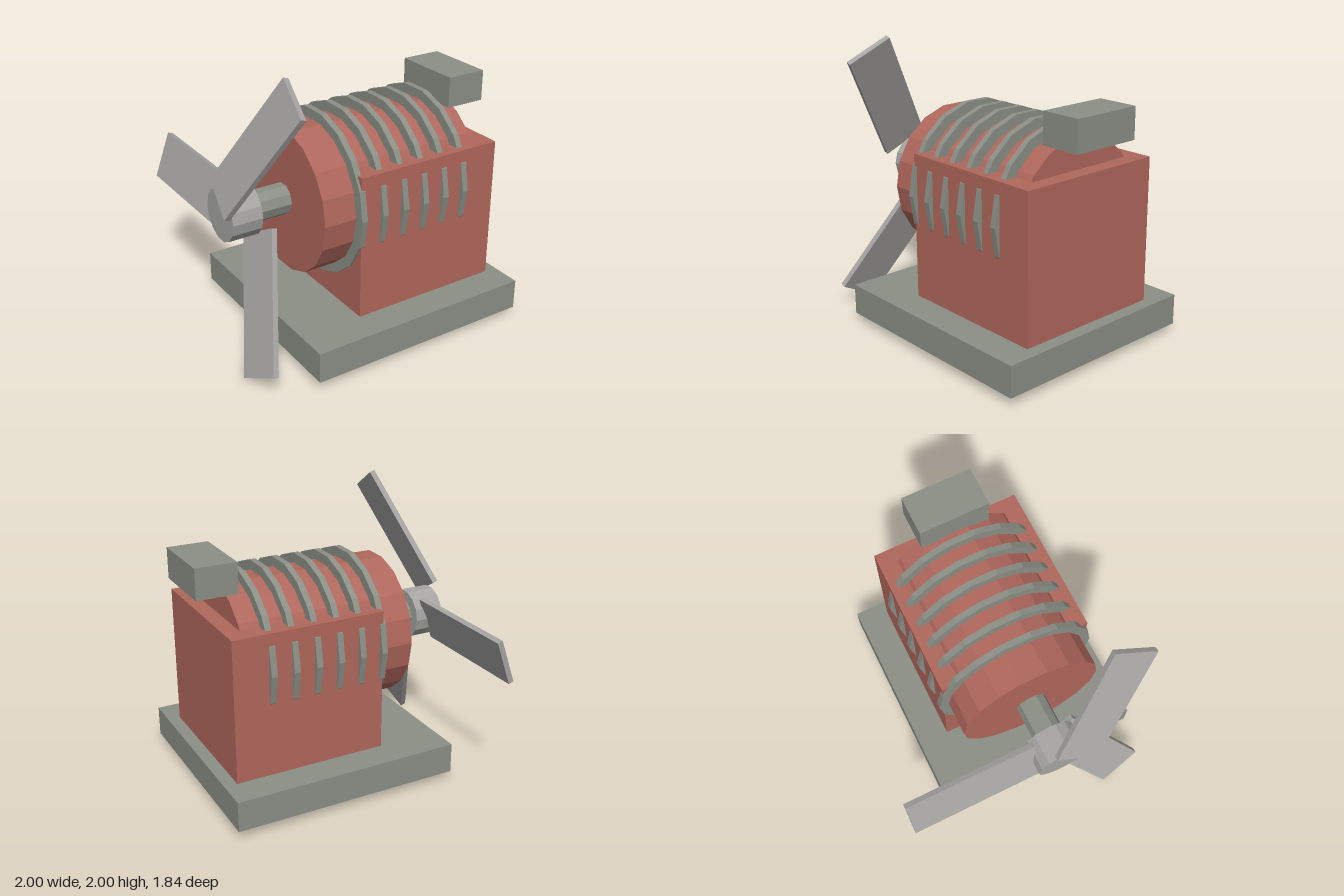
import * as THREE from 'three';

const AXIS_Y = 1.0, AXIS_Z = 0.16;

function material(name, color) {
  const m = new THREE.MeshStandardMaterial({ color, flatShading: true });
  m.name = name;
  return m;
}

export function createModel() {
  const model = new THREE.Group();
  model.name = 'fanMotor';
  const red = material('brickRed', 0xb0675c);
  const grey = material('greenGrey', 0x8b8f86);
  const light = material('lightGrey', 0xa6a5a4);

  function add(name, geometry, mat, x, y, z = AXIS_Z) {
    const mesh = new THREE.Mesh(geometry, mat);
    mesh.name = name;
    mesh.position.set(x, y, z);
    model.add(mesh);
    return mesh;
  }

  const box = (name, mat, x0, x1, y0, y1, depth) =>
    add(name, new THREE.BoxGeometry(x1 - x0, y1 - y0, depth), mat, (x0 + x1) / 2, (y0 + y1) / 2);

  // Cylinder lying along x, with a corner pointing to +z
  const drum = (name, mat, x0, x1, radius, sides) =>
    add(name, new THREE.CylinderGeometry(radius, radius, x1 - x0, sides).rotateZ(Math.PI / 2),
      mat, (x0 + x1) / 2, AXIS_Y);

  // Base, housing and terminal box
  box('base', grey, -0.65, 0.98, 0.065, 0.28, 1.52);
  box('housing', red, -0.2, 0.89, 0.28, 1.29, 1.084);
  box('terminalBox', grey, 0.71, 1.0, 1.475, 1.69, 0.505);

  // Motor body with cooling rings
  drum('motorBody', red, -0.45, 0.78, 0.51, 18);
  for (let i = 0; i < 6; i++) {
    const x = -0.196 + i * 0.163;
    drum('coolingRing', grey, x - 0.0215, x + 0.0215, 0.58, 18);
  }

  // Shaft and hub
  drum('shaft', grey, -0.72, -0.44, 0.108, 10);
  drum('hub', light, -0.92, -0.705, 0.18, 14);

  // Three blades around the hub, all tilted the same way
  for (const degrees of [-60, 60, 180]) {
    const a = THREE.MathUtils.degToRad(degrees);
    const r = 0.615;
    const blade = add('blade', new THREE.BoxGeometry(0.039, 0.333, 0.935), light,
      -0.815, AXIS_Y - r * Math.sin(a), AXIS_Z + r * Math.cos(a));
    blade.rotation.set(a, 0, THREE.MathUtils.degToRad(-20), 'ZYX');
  }
  return model;
}
